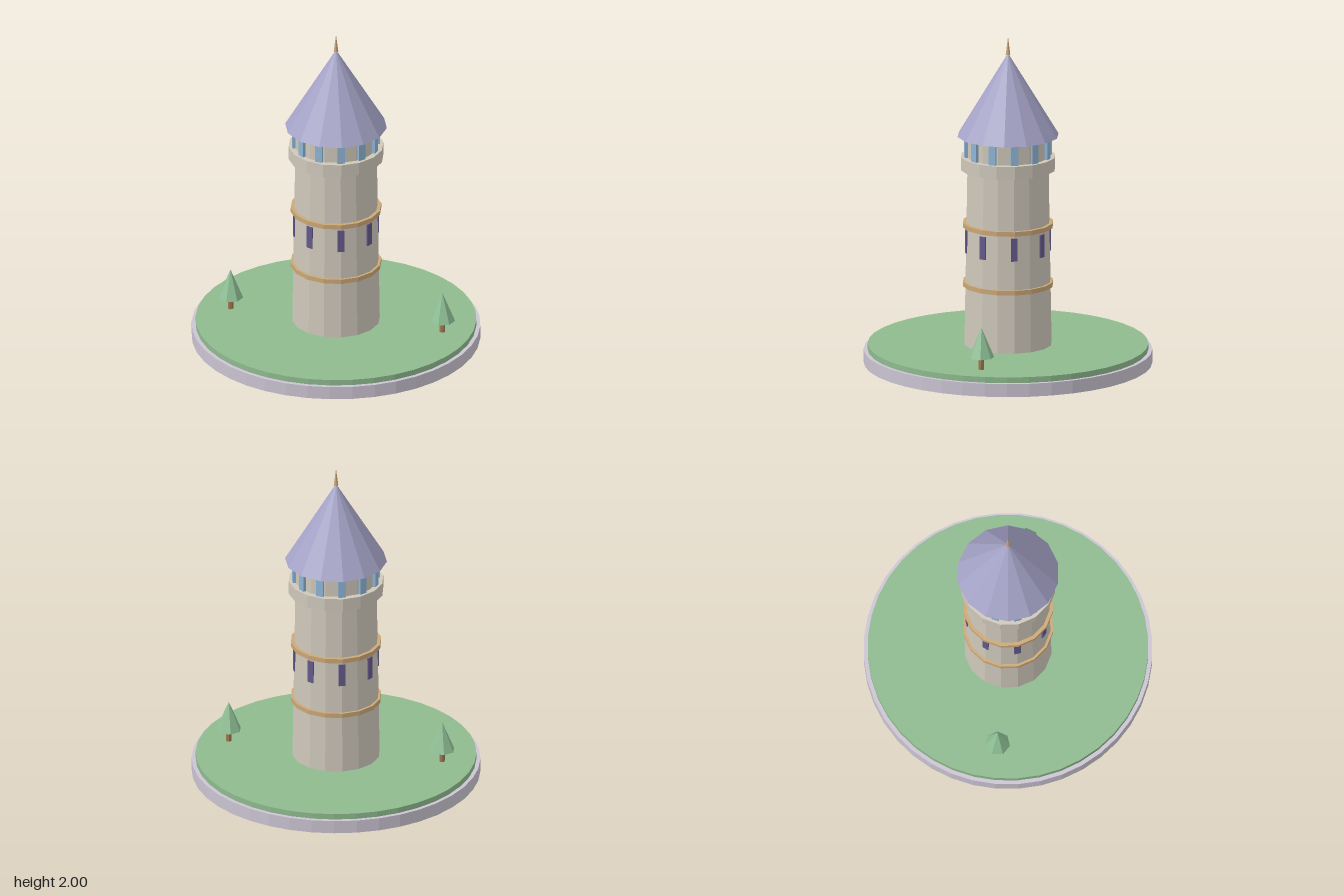
import * as THREE from 'three';

const mat = (name, color) => {
  const m = new THREE.MeshStandardMaterial({ color, flatShading: true });
  m.name = name;
  return m;
};

export function createModel() {
  const stone = mat('warm stone', 0xcfc8bb);
  const plinthStone = mat('lilac stone', 0xcbc4d2);
  const grass = mat('grass green', 0x8fba8f);
  const trim = mat('tan trim', 0xcba878);
  const slate = mat('lavender slate', 0xa6a4c8);
  const darkGlass = mat('violet window', 0x645a8a);
  const paleGlass = mat('blue window', 0x8fb6d6);
  const bark = mat('bark', 0xa07850);
  const leaf = mat('leaf green', 0x8fc196);

  const model = new THREE.Group();
  model.name = 'tower';

  const add = (parent, name, geometry, material, x = 0, y = 0, z = 0) => {
    const mesh = new THREE.Mesh(geometry, material);
    mesh.name = name;
    mesh.position.set(x, y, z);
    parent.add(mesh);
    return mesh;
  };

  // Faceted drum or cone between two heights
  const drum = (parent, name, material, rBottom, rTop, y0, y1, sides) =>
    add(parent, name, new THREE.CylinderGeometry(rTop, rBottom, y1 - y0, sides), material, 0, (y0 + y1) / 2);

  // Ring of upright boxes facing outwards
  const windowRing = (name, material, count, radius, w, h, d, y) => {
    const ring = new THREE.Group();
    ring.name = name;
    const geometry = new THREE.BoxGeometry(w, h, d);
    for (let i = 0; i < count; i++) {
      const a = (i / count) * Math.PI * 2;
      add(ring, 'window', geometry, material, Math.sin(a) * radius, y, Math.cos(a) * radius).rotation.y = a;
    }
    model.add(ring);
  };

  // Ground
  drum(model, 'plinth', plinthStone, 0.862, 0.862, 0, 0.08, 40);
  drum(model, 'lawn', grass, 0.838, 0.838, 0.08, 0.115, 40);

  // Shaft with trim bands and slit windows
  drum(model, 'shaft', stone, 0.263, 0.245, 0.115, 1.2, 16);
  for (const y of [0.475, 0.837]) drum(model, 'trimBand', trim, 0.272, 0.272, y, y + 0.028, 16);
  windowRing('slitWindows', darkGlass, 8, 0.247, 0.04, 0.14, 0.02, 0.75);

  // Gallery and lantern room
  drum(model, 'galleryCollar', stone, 0.285, 0.285, 1.19, 1.27, 16);
  drum(model, 'lanternRoom', stone, 0.25, 0.25, 1.27, 1.395, 16);
  windowRing('lanternWindows', paleGlass, 12, 0.253, 0.045, 0.125, 0.02, 1.3325);

  // Roof and finial
  drum(model, 'roof', slate, 0.305, 0, 1.395, 1.9, 14);
  drum(model, 'finial', trim, 0.014, 0, 1.89, 2, 8);

  // Trees
  for (const [x, z] of [[0.61, 0.252], [-0.61, -0.206]]) {
    const tree = new THREE.Group();
    tree.name = 'tree';
    tree.position.set(x, 0, z);
    tree.rotation.y = Math.PI;
    drum(tree, 'trunk', bark, 0.017, 0.017, 0.115, 0.2, 7);
    drum(tree, 'foliage', leaf, 0.0765, 0, 0.19, 0.372, 7);
    model.add(tree);
  }

  return model;
}
